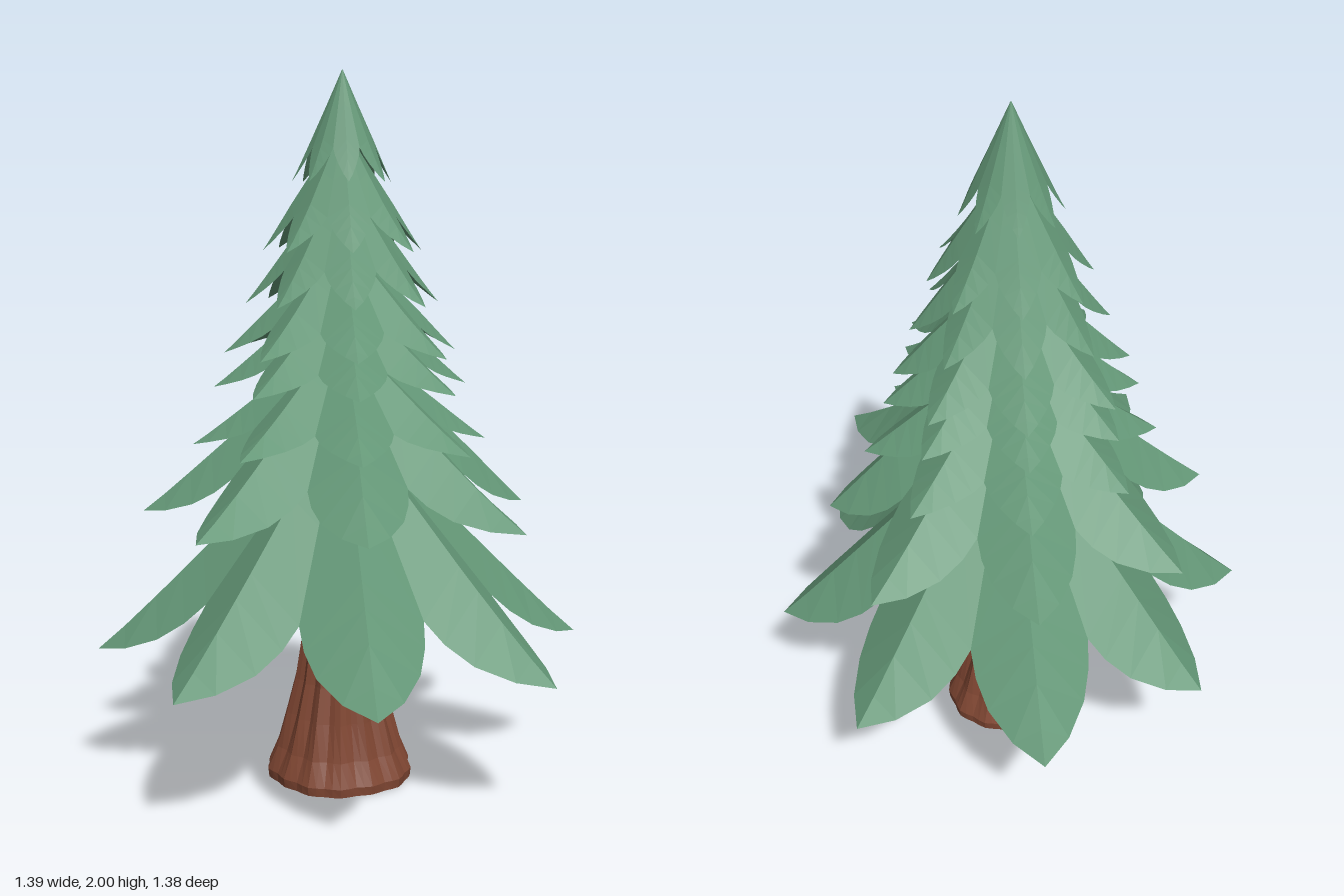
import * as THREE from 'three';

const green = new THREE.MeshStandardMaterial({ color: 0x639676 });
green.name = 'needle green';
const brown = new THREE.MeshStandardMaterial({ color: 0x7f4632 });
brown.name = 'bark brown';

const HALF = Math.tan(Math.PI / 8);

// Eight-pointed skirt of folded, leaf-shaped boughs, closed underneath.
// reach lists the bough lengths from the front round to the back, mirrored on both sides.
function makeTier({ name, reach, yTip, rTop, yTop, notch, widths, fold }) {
  const rMean = (reach[0] + reach[1] + reach[2] + reach[3]) / 4;
  const rNotch = rMean * notch;
  const height = (r, rTip) =>
    yTip + (yTop - yTip) * Math.pow(Math.max(0, 1 - (r - rTop) / (rTip - rTop)), 1.06);
  const yRoof = height(rNotch, rMean) - rNotch * fold;
  const positions = [];
  const turn = new THREE.Matrix4();

  for (let i = 0; i < 8; i++) {
    const rTip = reach[Math.min(i, 8 - i)];
    turn.makeRotationY((i * Math.PI) / 4);
    const tri = (...points) => points.forEach((p) => positions.push(...p.clone().applyMatrix4(turn).toArray()));
    const quad = (a, b, c, d) => { tri(a, b, c); tri(a, c, d); };

    // Cross-sections from the trunk to the tip: radius, height, half width, fold depth, underside height
    const rows = [];
    for (const f of [0, 0.5, 1]) {
      const r = THREE.MathUtils.lerp(rTop, rNotch, f);
      const y = height(r, rMean);
      rows.push([r, y, r * HALF, r * fold, f < 1 ? yRoof : y - r * fold * 0.7]);
    }
    [...widths, 0].forEach((w, k) => {
      const f = [0.2, 0.45, 0.75, 1][k];
      const r = THREE.MathUtils.lerp(rNotch, rTip, f);
      const y = THREE.MathUtils.lerp(height(r, rMean), height(r, rTip), f);
      const drop = rNotch * fold * Math.pow(w, 1.3);
      rows.push([r, y, rNotch * HALF * w, drop, y - drop * 0.7]);
    });
    const section = ([r, y, w, drop, yUnder], side) => ({
      ridge: new THREE.Vector3(0, y, r),
      edge: new THREE.Vector3(side * w, y - drop, r),
      under: new THREE.Vector3(0, yUnder, r),
      rim: new THREE.Vector3(side * w, Math.min(y - drop, yRoof), r),
    });

    for (const side of [-1, 1]) {
      for (let k = 0; k < rows.length - 1; k++) {
        const a = section(rows[k], side);
        const b = section(rows[k + 1], side);
        if (side > 0) {
          quad(a.ridge, b.ridge, b.edge, a.edge);
          quad(a.under, a.rim, b.rim, b.under);
        } else {
          quad(a.ridge, a.edge, b.edge, b.ridge);
          quad(a.under, b.under, b.rim, a.rim);
        }
      }
    }
  }

  const geometry = new THREE.BufferGeometry();
  geometry.setAttribute('position', new THREE.Float32BufferAttribute(positions, 3));
  geometry.computeVertexNormals();
  const mesh = new THREE.Mesh(geometry, green);
  mesh.name = name;
  return mesh;
}

// Flared trunk with uneven bark flutes that fade out at the foot
function makeTrunk() {
  const profile = [
    [0, 0.01], [0.208, 0.01], [0.21, 0.035], [0.18, 0.1], [0.15, 0.2],
    [0.125, 0.3], [0.107, 0.42], [0.098, 0.52], [0.092, 0.64],
  ].map(([r, y]) => new THREE.Vector2(r, y));
  let geometry = new THREE.LatheGeometry(profile, 56);
  const p = geometry.attributes.position;
  for (let i = 0; i < p.count; i++) {
    const x = p.getX(i), y = p.getY(i), z = p.getZ(i);
    const a = Math.atan2(x, z);
    const depth = 0.015 + 0.04 * Math.min(1, y / 0.2);
    const s = 0.98 + depth * Math.cos(14 * a) + 0.02 * Math.sin(5 * a + 1);
    p.setXYZ(i, x * s, y, z * s);
  }
  geometry = geometry.toNonIndexed();
  geometry.computeVertexNormals();
  const mesh = new THREE.Mesh(geometry, brown);
  mesh.name = 'trunk';
  mesh.position.set(0, -0.01, -0.024);
  return mesh;
}

export function createModel() {
  const tree = new THREE.Group();
  tree.name = 'pineTree';
  tree.add(makeTrunk());

  // Bough lengths, tip height, inner radius and height, notch position
  const tiers = [
    [[0.705, 0.685, 0.697, 0.695, 0.68], 0.4, 0.05, 1.03, 0.57],
    [[0.605, 0.52, 0.605, 0.56, 0.585], 0.795, 0.05, 1.23, 0.56],
    [[0.43, 0.41, 0.435, 0.42, 0.4], 0.98, 0.05, 1.26, 0.6],
    [[0.38, 0.35, 0.38, 0.36, 0.36], 1.14, 0.05, 1.4, 0.61],
    [[0.35, 0.32, 0.35, 0.33, 0.345], 1.235, 0.04, 1.52, 0.61],
    [[0.28, 0.27, 0.28, 0.27, 0.27], 1.37, 0.04, 1.68, 0.61],
    [[0.24, 0.22, 0.24, 0.22, 0.23], 1.515, 0.03, 1.81, 0.61],
    [[0.145, 0.135, 0.145, 0.14, 0.14], 1.7, 0.001, 2.0, 0.61],
  ];
  const foliage = new THREE.Group();
  foliage.name = 'foliage';
  tiers.forEach(([reach, yTip, rTop, yTop, notch], i) => {
    const widths = i < 2 ? [0.96, 0.81, 0.47] : [0.9, 0.69, 0.36];
    const fold = i < 2 ? 0.29 : 0.25;
    foliage.add(makeTier({ name: `boughTier${i + 1}`, reach, yTip, rTop, yTop, notch, widths, fold }));
  });
  foliage.position.z = -0.014;
  tree.add(foliage);
  return tree;
}
